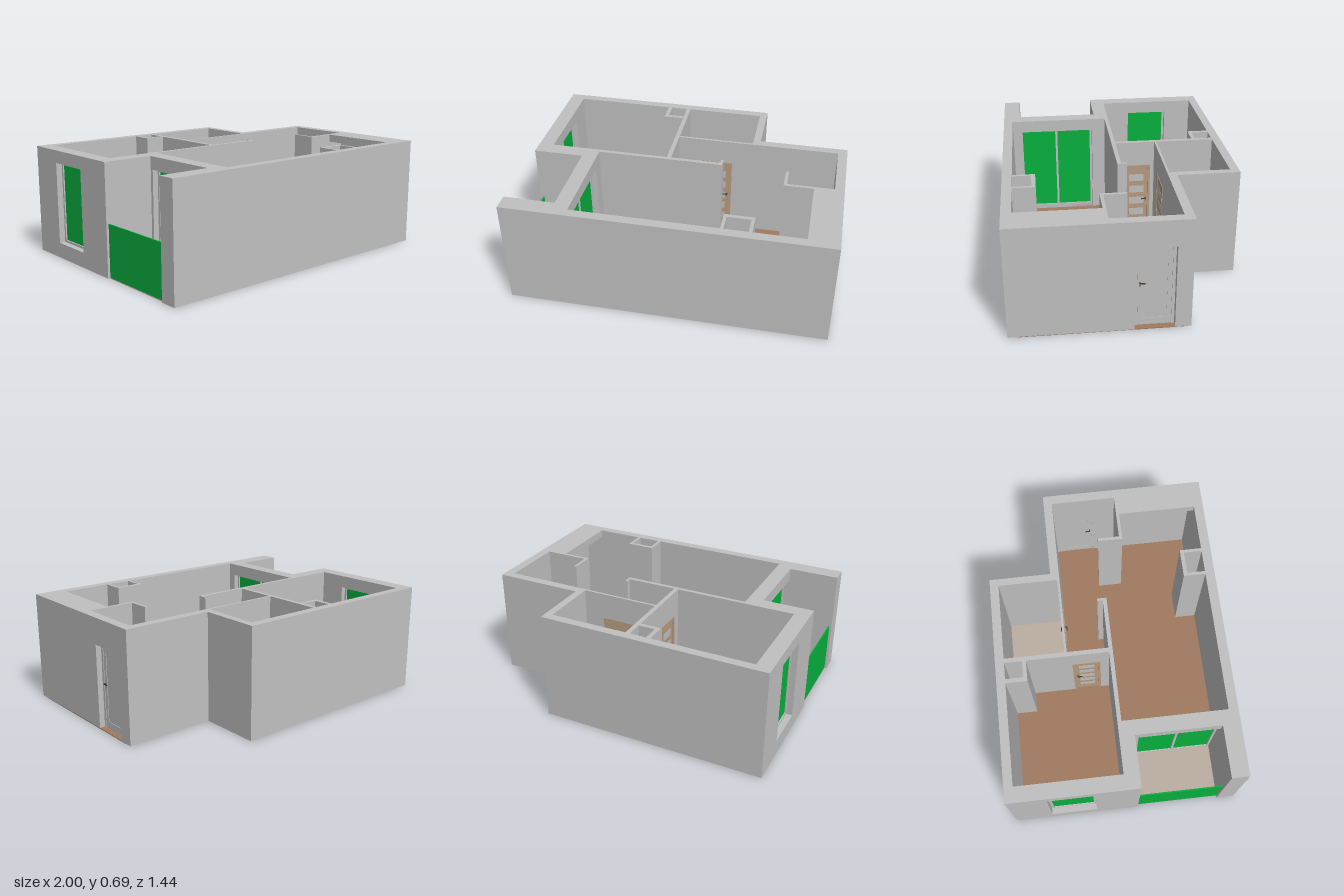
import * as THREE from 'three';

const mat = (name, color, side = THREE.FrontSide) => {
  const m = new THREE.MeshStandardMaterial({ color, side });
  m.name = name;
  return m;
};

export function createModel() {
  const wallGray = mat('wall gray', 0xc0c0c0);
  const wood = mat('wood floor', 0xa07a60);
  const tile = mat('tile floor', 0xbbada0);
  const green = mat('green glass', 0x08b03e);
  const tan = mat('door tan', 0xb89c80);
  const dark = mat('handle dark', 0x3c3c3c);

  const model = new THREE.Group();
  model.name = 'apartment';
  const H = 0.695, BASE = 0.002;

  // Box given by its limits on each axis
  function box(parent, name, material, x0, x1, y0, y1, z0, z1) {
    const mesh = new THREE.Mesh(new THREE.BoxGeometry(x1 - x0, y1 - y0, z1 - z0), material);
    mesh.position.set((x0 + x1) / 2, (y0 + y1) / 2, (z0 + z1) / 2);
    mesh.name = name;
    parent.add(mesh);
    return mesh;
  }
  function group(name) {
    const g = new THREE.Group();
    g.name = name;
    model.add(g);
    return g;
  }

  // Full-height walls: name, x0, x1, z0, z1
  const walls = group('walls');
  const wall = (name, x0, x1, z0, z1, y0 = BASE, y1 = H) =>
    box(walls, name, wallGray, x0, x1, y0, y1, z0, z1);
  [
    ['frontWall', -1, 1, 0.66, 0.72],
    ['balconyFrontPier', -1, -0.585, 0.61, 0.66],
    ['balconyBackWall', -1, -0.585, -0.015, 0.08],
    ['backWall', -0.905, 0.43, -0.72, -0.665],
    ['bathroomSideWall', 0.383, 0.43, -0.665, -0.33],
    ['hallBackWall', 0.383, 1, -0.33, -0.275],
    ['nicheOuterWall', 0.94, 1, 0.14, 0.66],
    ['closetSideWall', 0.63, 0.65, 0, 0.16],
    ['closetFrontWall', 0.65, 0.94, 0.14, 0.16],
    ['livingPartition', -0.585, 0.225, -0.015, 0.01],
    ['partitionStub', 0.21, 0.225, -0.05, -0.015],
    ['shaftSide', -0.272, -0.245, -0.665, -0.53],
    ['shaftFront', -0.245, -0.14, -0.555, -0.53],
    ['columnLeft', 0.32, 0.34, 0.52, 0.66],
    ['columnRight', 0.485, 0.505, 0.52, 0.66],
    ['columnBack', 0.34, 0.485, 0.52, 0.545],
  ].forEach((w) => wall(...w));
  wall('nicheBeam', 0.815, 0.94, 0.16, 0.66, 0.645, H);

  // Wall with one opening; a..b runs along z, or along x when alongX is set
  function openWall(name, x0, x1, z0, z1, a, b, y0, y1, alongX = false) {
    const piece = (p, q, lo, hi) => {
      if (q - p < 0.001 || hi - lo < 0.001) return;
      if (alongX) wall(name, p, q, z0, z1, lo, hi);
      else wall(name, x0, x1, p, q, lo, hi);
    };
    piece(alongX ? x0 : z0, a, BASE, H);
    piece(b, alongX ? x1 : z1, BASE, H);
    piece(a, b, BASE, y0);
    piece(a, b, y1, H);
  }
  openWall('bedroomWindowWall', -1, -0.905, -0.72, -0.015, -0.48, -0.19, 0.1, 0.615);
  openWall('livingWindowWall', -0.68, -0.585, 0.08, 0.61, 0.1, 0.61, BASE, 0.615);
  openWall('entranceWall', 0.94, 1, -0.275, 0.14, -0.235, 0, BASE, 0.53);
  openWall('bedroomPartition', -0.14, -0.112, -0.665, -0.015, -0.25, -0.07, BASE, 0.53);
  openWall('bathroomPartition', -0.112, 0.383, -0.29, -0.275, 0.04, 0.25, BASE, 0.53, true);

  // Floors
  const floors = group('floors');
  const floor = (name, m, x0, x1, z0, z1, y1 = 0.005) => box(floors, name, m, x0, x1, 0, y1, z0, z1);
  floor('livingFloor', wood, -0.585, 1, 0, 0.66);
  floor('bedroomFloor', wood, -0.93, -0.126, -0.68, 0);
  floor('hallFloor', wood, -0.126, 1, -0.283, 0);
  floor('bathroomFloor', tile, -0.126, 0.4, -0.68, -0.283);
  floor('balconyFloor', tile, -0.985, -0.63, 0.08, 0.61, 0.006);

  // Balcony railing panel
  box(model, 'balconyRailing', green, -0.985, -0.977, 0.006, 0.33, 0.08, 0.61);

  // Windows in walls facing x: frame border and equal glass leaves
  function glazing(name, x, z0, z1, y0, y1, leaves) {
    const g = group(name), f = 0.015, d = 0.012;
    box(g, 'frameBottom', wallGray, x - d, x + d, y0, y0 + f, z0, z1);
    box(g, 'frameTop', wallGray, x - d, x + d, y1 - f, y1, z0, z1);
    const step = (z1 - z0 - f) / leaves;
    for (let i = 0; i <= leaves; i++)
      box(g, 'framePost', wallGray, x - d, x + d, y0 + f, y1 - f, z0 + i * step, z0 + i * step + f);
    box(g, 'glass', green, x - 0.004, x + 0.004, y0 + f, y1 - f, z0 + f, z1 - f);
  }
  glazing('bedroomWindow', -0.95, -0.48, -0.19, 0.1, 0.615, 1);
  glazing('balconyDoor', -0.632, 0.1, 0.61, 0.006, 0.615, 2);

  // Lever handles on both faces of a leaf of half thickness t
  function handles(g, x, y, t, dir) {
    for (const s of [-1, 1]) {
      const stem = new THREE.Mesh(new THREE.CylinderGeometry(0.004, 0.004, 0.014, 10), dark);
      stem.rotation.x = Math.PI / 2;
      stem.position.set(x, y, s * (t + 0.007));
      stem.name = 'handleStem';
      g.add(stem);
      const z = s * (t + 0.013);
      box(g, 'handleLever', dark, Math.min(x, x + dir * 0.03), Math.max(x, x + dir * 0.03),
        y - 0.003, y + 0.003, z - 0.003, z + 0.003);
      box(g, 'lockPlate', wood, x - 0.005, x + 0.005, y - 0.025, y - 0.012, s * t - 0.002, s * t + 0.002);
    }
  }
  // Door frame around a width w and height h, depth 2d
  function frame(g, m, w, h, f, d) {
    for (const s of [-1, 1]) {
      const c = s * (w - f) / 2;
      box(g, 'frameSide', m, c - f / 2, c + f / 2, 0.005, h, -d, d);
    }
    box(g, 'frameTop', m, -w / 2 + f, w / 2 - f, h - f, h, -d, d);
  }

  // Interior doors with horizontal glass slats
  function slatDoor(name, w, d, side) {
    const g = group(name), h = 0.53, f = 0.015, t = 0.006;
    frame(g, tan, w, h, f, d);
    box(g, 'leaf', tan, -w / 2 + f, w / 2 - f, 0.008, h - f, -t, t);
    for (let i = 0; i < 5; i++) {
      const y = 0.07 + i * 0.085;
      box(g, 'slat', wallGray, -w / 2 + 0.04, w / 2 - 0.04, y, y + 0.05, -t - 0.001, t + 0.001);
    }
    handles(g, side * (w / 2 - 0.028), 0.28, t, -side);
    return g;
  }
  slatDoor('bathroomDoor', 0.21, 0.011, 1).position.set(0.145, 0, -0.2825);
  const bedroomDoor = slatDoor('bedroomDoor', 0.18, 0.017, 1);
  bedroomDoor.rotation.y = Math.PI / 2;
  bedroomDoor.position.set(-0.126, 0, -0.16);

  // Entrance door, set back in the outer wall
  const entrance = group('entranceDoor');
  frame(entrance, wallGray, 0.235, 0.53, 0.018, 0.012);
  box(entrance, 'leaf', wallGray, -0.0995, 0.0995, 0.005, 0.512, -0.007, 0.007);
  for (const s of [-1, 1]) {
    const z = s * 0.007;
    // Raised border around the centre panel
    for (const k of [-1, 1])
      box(entrance, 'stile', wallGray, k * 0.085 - 0.0125, k * 0.085 + 0.0125, 0.007, 0.51, z - 0.003, z + 0.003);
    box(entrance, 'bottomRail', wallGray, -0.0725, 0.0725, 0.007, 0.05, z - 0.003, z + 0.003);
    box(entrance, 'topRail', wallGray, -0.0725, 0.0725, 0.482, 0.51, z - 0.003, z + 0.003);
  }
  handles(entrance, -0.085, 0.29, 0.01, 1);
  entrance.rotation.y = Math.PI / 2;
  entrance.position.set(0.953, 0, -0.1175);

  return model;
}
